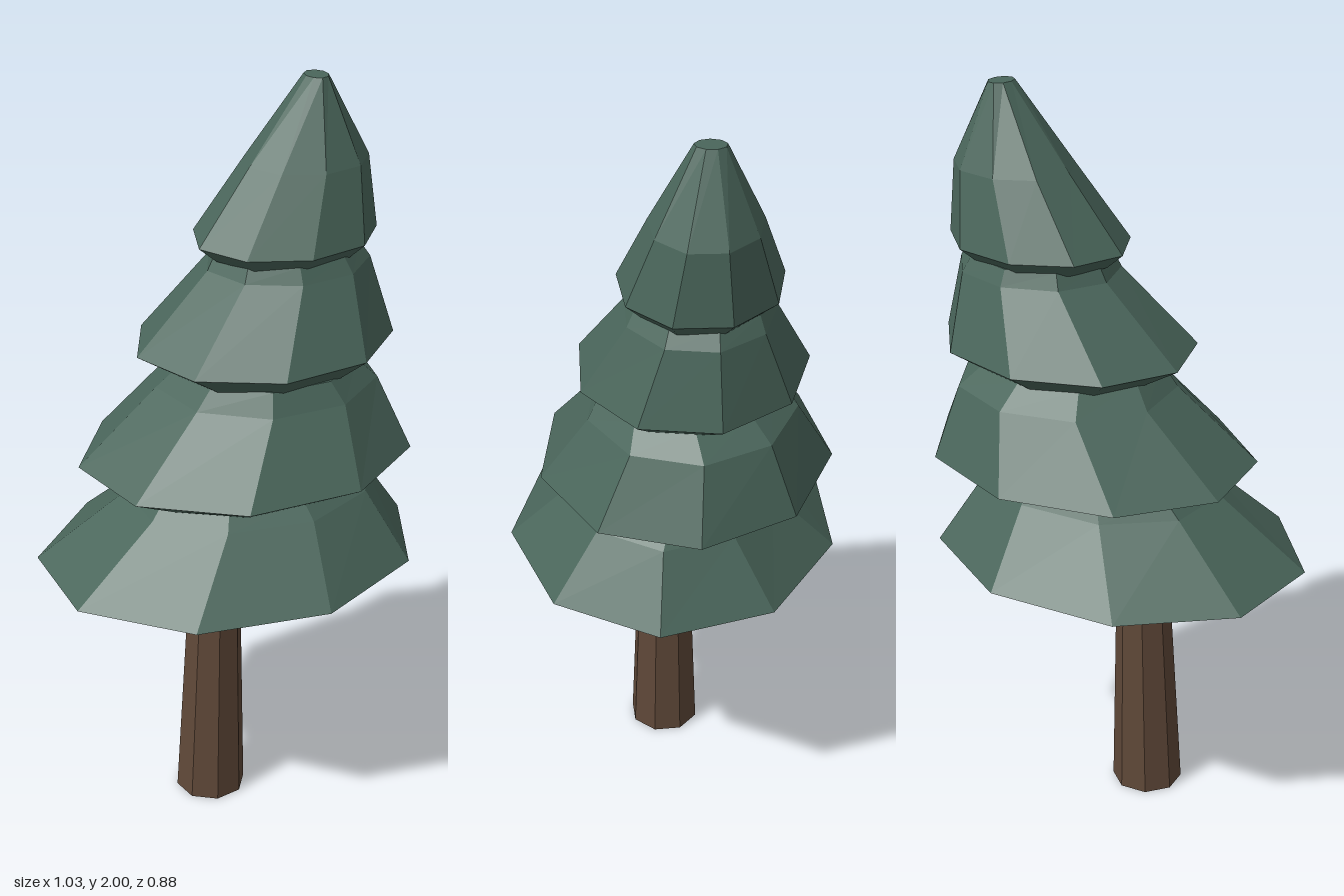
import * as THREE from 'three';

// Faceted solid from elliptical rings [y, cx, cz, rx, rz], capped at both ends
function loft(rings, sides, phaseDeg) {
  const pos = [];
  const point = ([y, cx, cz, rx, rz], i) => {
    const a = THREE.MathUtils.degToRad(phaseDeg) + ((i % sides) / sides) * Math.PI * 2;
    return [cx + rx * Math.cos(a), y, cz + rz * Math.sin(a)];
  };
  const tri = (a, b, c) => pos.push(...a, ...b, ...c);
  const first = rings[0], last = rings[rings.length - 1];
  for (let i = 0; i < sides; i++) {
    for (let k = 0; k < rings.length - 1; k++) {
      const a = point(rings[k], i), b = point(rings[k], i + 1);
      const c = point(rings[k + 1], i), d = point(rings[k + 1], i + 1);
      tri(a, c, b);
      tri(b, c, d);
    }
    tri([first[1], first[0], first[2]], point(first, i), point(first, i + 1));
    tri([last[1], last[0], last[2]], point(last, i + 1), point(last, i));
  }
  const g = new THREE.BufferGeometry();
  g.setAttribute('position', new THREE.Float32BufferAttribute(pos, 3));
  g.computeVertexNormals();
  return g;
}

export function createModel() {
  const tree = new THREE.Group();
  tree.name = 'leaningPineTree';
  const needles = new THREE.MeshStandardMaterial({ color: 0x4a665b });
  needles.name = 'needle green';
  const bark = new THREE.MeshStandardMaterial({ color: 0x5f4838 });
  bark.name = 'bark brown';

  const add = (name, material, rings, sides, phase) => {
    const mesh = new THREE.Mesh(loft(rings, sides, phase), material);
    mesh.name = name;
    tree.add(mesh);
  };

  // Trunk: tapered lower log and a narrower leaning piece up into the needles
  add('lowerTrunk', bark, [
    [0, -0.085, 0.033, 0.097, 0.097],
    [0.63, -0.068, 0.03, 0.073, 0.073],
  ], 8, 12);
  add('upperTrunk', bark, [
    [0.62, -0.063, 0.028, 0.064, 0.064],
    [0.8, -0.02, 0.01, 0.055, 0.055],
  ], 8, 12);

  // Four leaning skirts: underside, widest rim, shoulder, top
  const tiers = [
    { phase: 0, rings: [
      [0.675, -0.02, 0.005, 0.325, 0.3],
      [0.745, -0.013, 0, 0.53, 0.445],
      [0.925, 0.05, 0, 0.344, 0.275],
      [0.965, 0.05, -0.01, 0.3, 0.24]] },
    { phase: -10, rings: [
      [0.95, 0.05, -0.01, 0.31, 0.245],
      [1.02, 0.055, -0.035, 0.463, 0.39],
      [1.21, 0.125, -0.055, 0.305, 0.275],
      [1.27, 0.118, -0.038, 0.243, 0.225]] },
    { phase: 22, rings: [
      [1.253, 0.118, -0.042, 0.245, 0.21],
      [1.323, 0.115, -0.055, 0.357, 0.303],
      [1.522, 0.194, -0.078, 0.226, 0.195],
      [1.565, 0.19, -0.08, 0.2, 0.175]] },
    { phase: 15, rings: [
      [1.553, 0.188, -0.077, 0.205, 0.165],
      [1.595, 0.187, -0.08, 0.253, 0.212],
      [1.785, 0.255, -0.095, 0.17, 0.143],
      [2, 0.285, -0.105, 0.031, 0.04]] },
  ];
  tiers.forEach(({ rings, phase }, i) => add(`needleTier${i + 1}`, needles, rings, 9, phase));

  return tree;
}
